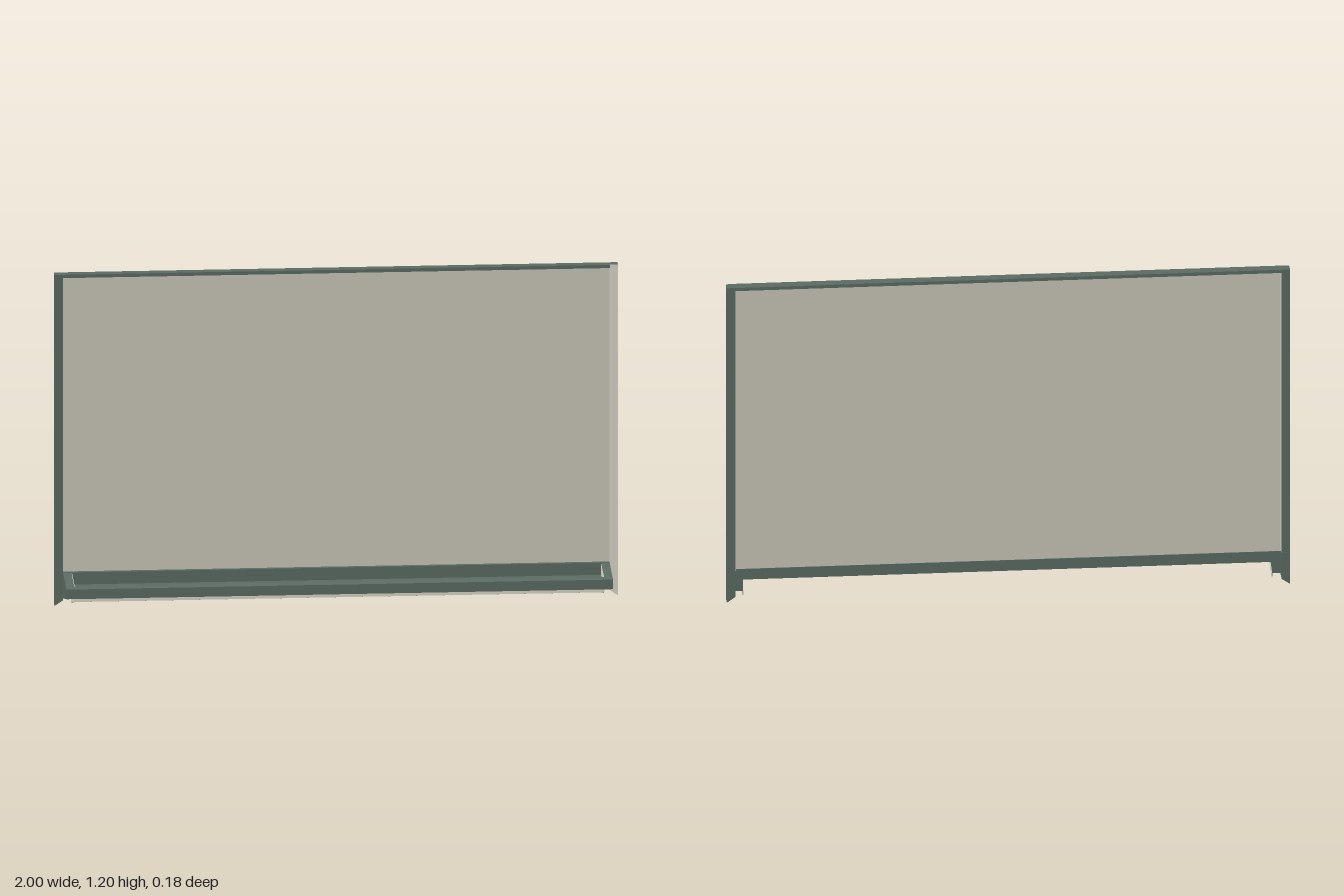
import * as THREE from 'three';

export function createModel() {
  const model = new THREE.Group();
  const green = new THREE.MeshStandardMaterial({ color: 0x5b6b64 });
  const panelBeige = new THREE.MeshStandardMaterial({ color: 0xc9c5b8 });
  const trimBeige = new THREE.MeshStandardMaterial({ color: 0xd9d5c8 });
  green.name = 'frame green';
  panelBeige.name = 'panel beige';
  trimBeige.name = 'trim beige';

  const add = (name, geometry, material) => {
    const mesh = new THREE.Mesh(geometry, material);
    mesh.name = name;
    model.add(mesh);
  };

  // Box given by its limits on each axis
  const box = (name, material, [x0, x1], [y0, y1], [z0, z1]) => {
    const g = new THREE.BoxGeometry(x1 - x0, y1 - y0, z1 - z0);
    g.translate((x0 + x1) / 2, (y0 + y1) / 2, (z0 + z1) / 2);
    add(name, g, material);
  };

  const extrude = (points, depth) => new THREE.ExtrudeGeometry(
    new THREE.Shape(points.map(([u, v]) => new THREE.Vector2(u, v))),
    { depth, bevelEnabled: false });

  // Profile of [z, y] points swept along x
  const sweepX = (name, material, points, x0, x1) => {
    const g = extrude(points, x1 - x0);
    g.rotateY(-Math.PI / 2);
    g.translate(x1, 0, 0);
    add(name, g, material);
  };

  // Profile of [x, y] points swept along z
  const sweepZ = (name, material, points, z0, z1) => {
    const g = extrude(points, z1 - z0);
    g.translate(0, 0, z0);
    add(name, g, material);
  };

  // Board panel and frame rails
  box('panel', panelBeige, [-0.97, 0.97], [0.118, 1.19], [-0.072, -0.068]);
  box('topRail', green, [-0.97, 0.97], [1.188, 1.2], [-0.09, -0.05]);
  box('bottomRail', green, [-0.97, 0.97], [0.112, 0.12], [-0.074, -0.05]);

  // Side posts with slanted feet and pale inner faces behind the panel
  for (const s of [-1, 1]) {
    const side = s > 0 ? 'left' : 'right';
    const outline = [[s, 0], [s, 1.2], [s * 0.97, 1.2], [s * 0.97, 0.02]];
    sweepZ(side + 'Post', green, outline, -0.09, s > 0 ? -0.052 : -0.05);
    if (s > 0) sweepZ('leftPostFace', trimBeige, outline, -0.052, -0.05);
    const xs = [s * 0.968, s * 0.97].sort((a, b) => a - b);
    box(side + 'PostLining', trimBeige, xs, [0.12, 1.188], [-0.089, -0.072]);
  }

  // Tray: back wall, floor and front lip
  box('trayBack', green, [-0.94, 0.94], [0.076, 0.116], [-0.056, -0.05]);
  box('trayFloor', green, [-0.94, 0.94], [0.072, 0.076], [-0.055, 0.066]);
  sweepX('trayLip', green,
    [[0.065, 0.095], [0.065, 0.05], [0.09, 0.055], [0.09, 0.09]], -0.94, 0.94);
  sweepX('trayFrontSkirt', trimBeige,
    [[0.062, 0.072], [0.062, 0.038], [0.066, 0.039], [0.066, 0.072]], -0.94, 0.94);

  // Tapered tray ends, with pale inner faces and a skirt below
  for (const s of [-1, 1]) {
    const side = s > 0 ? 'left' : 'right';
    const span = (a, b) => [s * a, s * b].sort((p, q) => p - q);
    sweepX(side + 'TrayEnd', green,
      [[-0.05, 0.118], [-0.05, 0.027], [0.09, 0.055], [0.09, 0.09]], ...span(0.94, 0.97));
    sweepX(side + 'TrayEndLining', trimBeige,
      [[-0.05, 0.116], [-0.05, 0.076], [0.065, 0.076], [0.065, 0.094]], ...span(0.938, 0.94));
    sweepX(side + 'TrayEndSkirt', trimBeige,
      [[-0.05, 0.028], [-0.047, 0.01], [0.066, 0.038], [0.066, 0.051]], ...span(0.938, 0.942));
  }

  return model;
}
